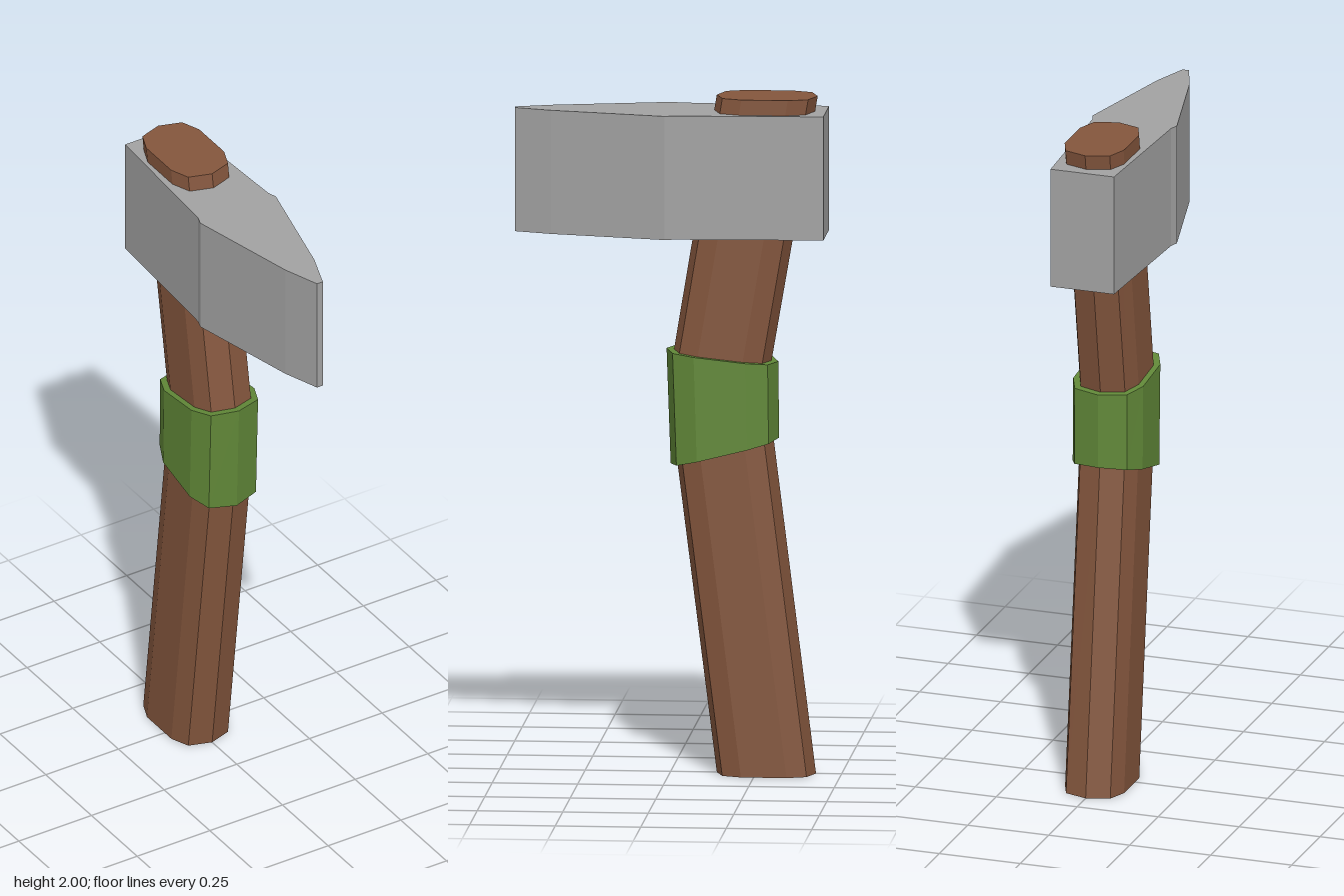
import * as THREE from 'three';

const wood = new THREE.MeshStandardMaterial({ name: 'wood brown', color: 0x84563d, flatShading: true });
const steel = new THREE.MeshStandardMaterial({ name: 'steel grey', color: 0xa2a2a2, flatShading: true });
const wrap = new THREE.MeshStandardMaterial({ name: 'wrap green', color: 0x618838, flatShading: true });

// Ten-sided oval section: [x as a share of half width, position from front 0 to back 1]
const half = [[0, 0], [0.75, 0.075], [1, 0.27], [1, 0.73], [0.75, 0.925], [0, 1]];
const section = [...half, ...half.slice(1, -1).reverse().map(([x, t]) => [-x, t])];

// Closed loft through tilted rings given as [front y, front z, back y, back z]
function loft(rings, halfWidth) {
  const n = section.length;
  const position = [], index = [];
  for (const [fy, fz, by, bz] of rings) {
    for (const [x, t] of section) {
      position.push(x * halfWidth, fy + (by - fy) * t, fz + (bz - fz) * t);
    }
  }
  for (let r = 0; r < rings.length - 1; r++) {
    for (let i = 0; i < n; i++) {
      const a = r * n + i, b = r * n + (i + 1) % n;
      index.push(a, b, b + n, a, b + n, a + n);
    }
  }
  const top = (rings.length - 1) * n;
  for (let i = 1; i < n - 1; i++) {
    index.push(0, i + 1, i, top, top + i, top + i + 1);
  }
  const geometry = new THREE.BufferGeometry();
  geometry.setAttribute('position', new THREE.Float32BufferAttribute(position, 3));
  geometry.setIndex(index);
  const flat = geometry.toNonIndexed();
  flat.computeVertexNormals();
  return flat;
}

export function createModel() {
  const group = new THREE.Group();
  group.name = 'axe';
  const add = (name, geometry, material) => {
    const mesh = new THREE.Mesh(geometry, material);
    mesh.name = name;
    group.add(mesh);
  };

  // Bent wooden handle
  add('handle', loft([
    [0, -0.135, 0, -0.425],
    [0.95, -0.015, 0.98, -0.302],
    [1.2, -0.002, 1.2, -0.292],
    [2, -0.135, 2, -0.43],
  ], 0.091), wood);

  // Cloth band around the bend
  add('gripBand', loft([
    [0.91, 0, 0.99, -0.317],
    [1.25, 0.012, 1.215, -0.315],
  ], 0.108), wrap);

  // Wedge-shaped head, outlined from above as [x, z]
  const side = [[0.098, -0.455], [0.121, -0.02], [0.13, 0.007], [0.05, 0.345], [0.01, 0.455]];
  const outline = [...side, ...side.map(([x, z]) => [-x, z]).reverse()];
  const shape = new THREE.Shape(outline.map(([x, z]) => new THREE.Vector2(x, -z)));
  const head = new THREE.ExtrudeGeometry(shape, { depth: 0.365, bevelEnabled: false });
  head.rotateX(-Math.PI / 2).translate(0, 1.59, 0);
  add('head', head, steel);

  return group;
}
